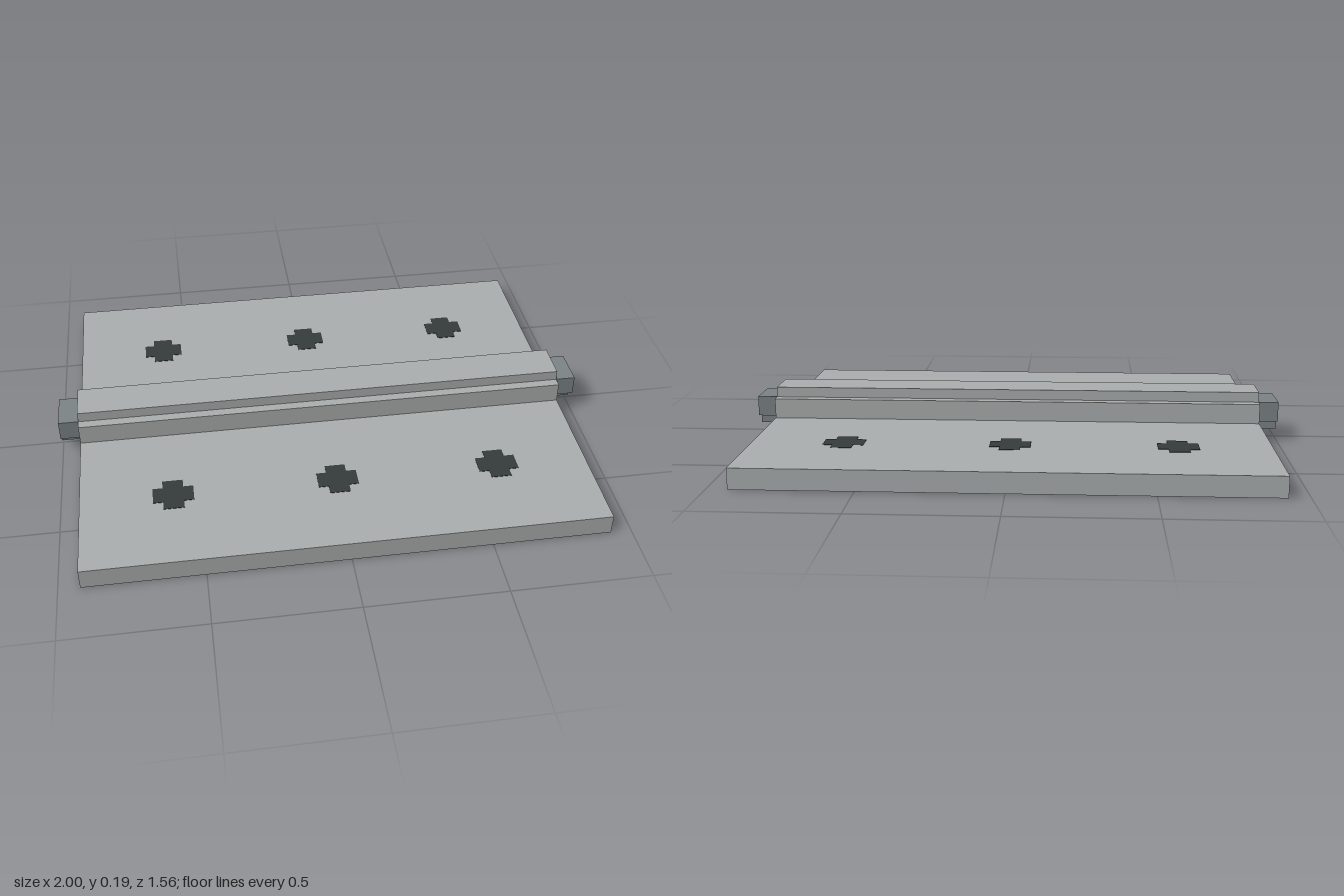
import * as THREE from 'three';

export function createModel() {
  const group = new THREE.Group();
  group.name = 'hinge';

  const material = (name, color) => {
    const m = new THREE.MeshStandardMaterial({ color });
    m.name = name;
    return m;
  };
  const steel = material('light steel', 0xadb0b0);
  const pinSteel = material('dark steel', 0x7d8588);
  const screwBlack = material('screw black', 0x363c3c);

  const add = (name, geometry, mat, x = 0, y = 0, z = 0) => {
    const mesh = new THREE.Mesh(geometry, mat);
    mesh.name = name;
    mesh.position.set(x, y, z);
    group.add(mesh);
    return mesh;
  };

  // Extrude a mirrored outline of [z, y] points along x, centred on x = 0
  const bar = (half, length) => {
    const points = [...half, ...half.map(([z, y]) => [-z, y]).reverse()];
    const shape = new THREE.Shape(points.map(([z, y]) => new THREE.Vector2(z, y)));
    return new THREE.ExtrudeGeometry(shape, { depth: length, bevelEnabled: false })
      .translate(0, 0, -length / 2)
      .rotateY(Math.PI / 2);
  };

  // Leaf plate
  add('leafPlate', new THREE.BoxGeometry(1.85, 0.075, 1.56), steel, 0, 0.0375, 0);

  // Stepped barrel along the middle
  add('barrel', bar([[0.11, 0.075], [0.11, 0.15], [0.074, 0.15], [0.074, 0.188]], 1.85), steel);

  // T-shaped pin ends
  const pinEnd = bar([[0.037, 0.038], [0.037, 0.075], [0.074, 0.075], [0.074, 0.15]], 0.075);
  for (const side of [-1, 1]) {
    add(side > 0 ? 'leftPinEnd' : 'rightPinEnd', pinEnd, pinSteel, side * 0.9625);
  }

  // Cross-shaped screws, nearly flush on both faces of the plate
  const a = 0.037, b = 0.073;
  const cross = new THREE.Shape([
    [b, -a], [b, a], [a, a], [a, b], [-a, b], [-a, a],
    [-b, a], [-b, -a], [-a, -a], [-a, -b], [a, -b], [a, -a],
  ].map(([x, y]) => new THREE.Vector2(x, y)));
  const screw = new THREE.ExtrudeGeometry(cross, { depth: 0.078, bevelEnabled: false })
    .rotateX(-Math.PI / 2);
  for (const z of [-0.445, 0.445]) {
    for (const x of [-0.593, 0, 0.593]) add('screw', screw, screwBlack, x, -0.0015, z);
  }

  return group;
}
